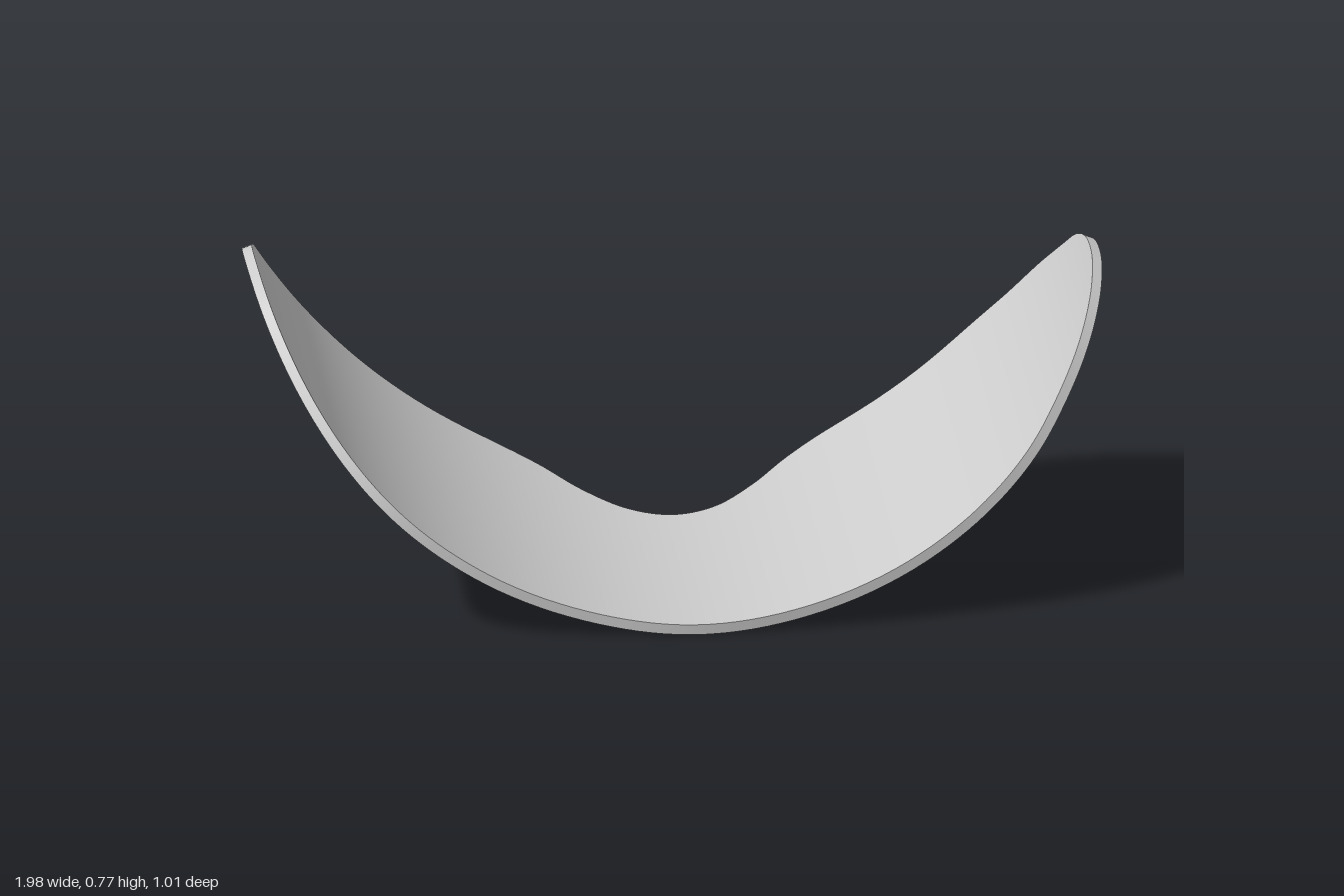
import * as THREE from 'three';

const R = 1.055;      // outer bend radius
const WALL = 0.024;   // shell thickness
const SLOPE = 0.055;  // rise towards the back
const ALONG = 144, ACROSS = 16;

// Outline of the unrolled sheet as [bend angle in degrees, z], starting at the -x tip.
const FRONT = [[-71.8, -0.1], [-70.9, 0], [-68.5, 0.1], [-63.4, 0.2], [-56.3, 0.3], [-48.5, 0.38],
  [-41.6, 0.425], [-30, 0.458], [-15, 0.48], [-1, 0.5], [14, 0.483], [30, 0.452], [41.6, 0.41],
  [49, 0.362], [54.3, 0.3], [61.6, 0.2], [66.1, 0.1], [68.2, 0]];
const BACK = [[68.6, -0.08], [68, -0.17], [66.2, -0.25], [63.9, -0.3], [58, -0.4], [52.5, -0.455],
  [45, -0.501], [36, -0.499], [22.3, -0.45], [16.5, -0.385], [10.9, -0.275], [5.4, -0.187], [0, -0.16],
  [-5.4, -0.192], [-10.9, -0.28], [-16.5, -0.395], [-22.3, -0.455], [-33, -0.495], [-43, -0.505],
  [-50, -0.493], [-57.2, -0.45], [-61.7, -0.4], [-67.2, -0.3], [-70.2, -0.2]];

// Rolls a flat outline point onto the bent, slightly sloping sheet.
function bend(p, r) {
  return new THREE.Vector3(0.005 + r * Math.sin(p.x), R - r * Math.cos(p.x) + SLOPE * (0.5 - p.y), p.y);
}

// Grid surface from point(i, j); flip turns the faces over.
function grid(nu, nv, point, flip) {
  const pos = [], index = [];
  for (let i = 0; i <= nu; i++) {
    for (let j = 0; j <= nv; j++) pos.push(...point(i, j).toArray());
  }
  for (let i = 0; i < nu; i++) {
    for (let j = 0; j < nv; j++) {
      const a = i * (nv + 1) + j, b = a + nv + 1;
      if (flip) index.push(a, b + 1, b, a, a + 1, b + 1);
      else index.push(a, b, b + 1, a, b + 1, a + 1);
    }
  }
  const g = new THREE.BufferGeometry();
  g.setAttribute('position', new THREE.Float32BufferAttribute(pos, 3));
  g.setIndex(index);
  g.computeVertexNormals();
  return g;
}

export function createModel() {
  const group = new THREE.Group();
  group.name = 'curvedShell';
  const material = new THREE.MeshStandardMaterial({ color: 0xcccccc, side: THREE.DoubleSide });

  const outline = new THREE.CatmullRomCurve3(
    [...FRONT, ...BACK].map(([a, z]) => new THREE.Vector3(THREE.MathUtils.degToRad(a), z, 0)), true);
  const split = FRONT.length / (FRONT.length + BACK.length);
  const front = [], back = [];
  for (let i = 0; i <= ALONG; i++) {
    front.push(outline.getPoint(split * i / ALONG));
    back.push(outline.getPoint((1 - (1 - split) * i / ALONG) % 1));
  }

  const add = (name, geometry) => {
    const mesh = new THREE.Mesh(geometry, material);
    mesh.name = name;
    group.add(mesh);
  };

  // Upper and lower faces, with normals taken from the bend
  const sheet = (r, side) => {
    const at = (i, j) => front[i].clone().lerp(back[i], j / ACROSS);
    const g = grid(ALONG, ACROSS, (i, j) => bend(at(i, j), r), side > 0);
    const normals = [];
    for (let i = 0; i <= ALONG; i++) {
      for (let j = 0; j <= ACROSS; j++) {
        const a = at(i, j).x, c = Math.cos(a);
        normals.push(...new THREE.Vector3(Math.sin(a), -c, -SLOPE * c).normalize().multiplyScalar(side).toArray());
      }
    }
    g.setAttribute('normal', new THREE.Float32BufferAttribute(normals, 3));
    return g;
  };
  add('innerFace', sheet(R - WALL, -1));
  add('outerFace', sheet(R, 1));

  // Narrow edge band closing the two faces all the way round
  const loop = [...front, ...back.slice(0, -1).reverse()];
  add('rim', grid(loop.length - 1, 1, (i, j) => bend(loop[i], R - j * WALL), false));

  return group;
}
